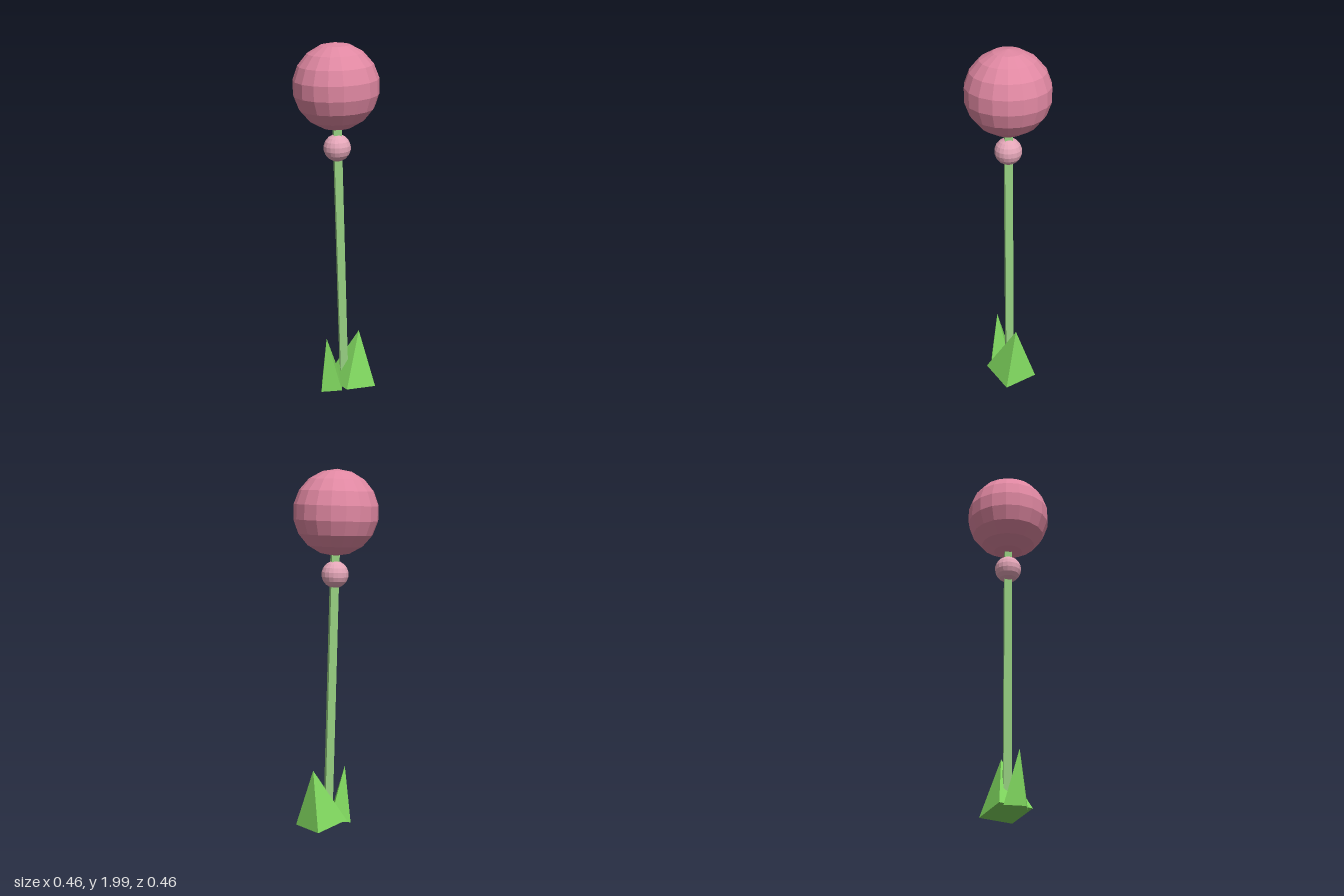
import * as THREE from 'three';

const mat = (name, color) => {
  const m = new THREE.MeshStandardMaterial({ color });
  m.name = name;
  return m;
};

// Split the faces so that each one gets its own flat normal
function facet(geometry) {
  const g = geometry.toNonIndexed();
  g.computeVertexNormals();
  return g;
}

export function createModel() {
  const group = new THREE.Group();
  const pink = mat('blossom pink', 0xe088a2);
  const palePink = mat('pale pink', 0xe4a6b8);
  const stemGreen = mat('stem green', 0x98d282);
  const leafGreen = mat('leaf green', 0x7fd65e);

  function add(name, geometry, material) {
    const mesh = new THREE.Mesh(facet(geometry), material);
    mesh.name = name;
    group.add(mesh);
    return mesh;
  }

  // Faceted ball with its poles along the leaning stem
  const lean = 0.028;
  function ball(name, radius, x, y, material) {
    const geometry = new THREE.SphereGeometry(radius, 18, 9).rotateY(Math.PI / 2);
    const mesh = add(name, geometry, material);
    mesh.position.set(x, y, 0);
    mesh.rotation.z = lean;
  }
  ball('blossom', 0.235, -0.002, 1.766, pink);
  ball('bud', 0.075, 0.004, 1.43, palePink);

  // Square stem, leaning slightly to one side
  const bottom = 0.08, top = 1.57;
  const stem = add('stem', new THREE.BoxGeometry(0.043, top - bottom, 0.043), stemGreen);
  stem.position.set(0.0235, (bottom + top) / 2, 0);
  stem.rotation.z = lean;

  // Four-sided spike leaf: base centre, tip, and the direction of one base corner
  function leaf(name, centre, tip, corner) {
    const c = new THREE.Vector3(...centre);
    const axis = new THREE.Vector3(...tip).sub(c);
    const height = axis.length();
    const up = axis.normalize();
    const out = new THREE.Vector3(...corner).sub(c);
    const radius = out.length();
    out.addScaledVector(up, -out.dot(up)).normalize();
    const side = new THREE.Vector3().crossVectors(out, up);
    const mesh = add(name, new THREE.ConeGeometry(radius, height, 4).translate(0, height / 2, 0), leafGreen);
    mesh.quaternion.setFromRotationMatrix(new THREE.Matrix4().makeBasis(out, up, side));
    mesh.position.copy(c);
  }
  leaf('largeLeaf', [0.085, 0.025, -0.002], [0.135, 0.335, -0.022], [0.22, 0.005, 0.048]);
  leaf('smallLeaf', [-0.033, 0.023, 0.036], [-0.066, 0.332, 0.053], [0.013, 0.024, 0.105]);

  return group;
}
